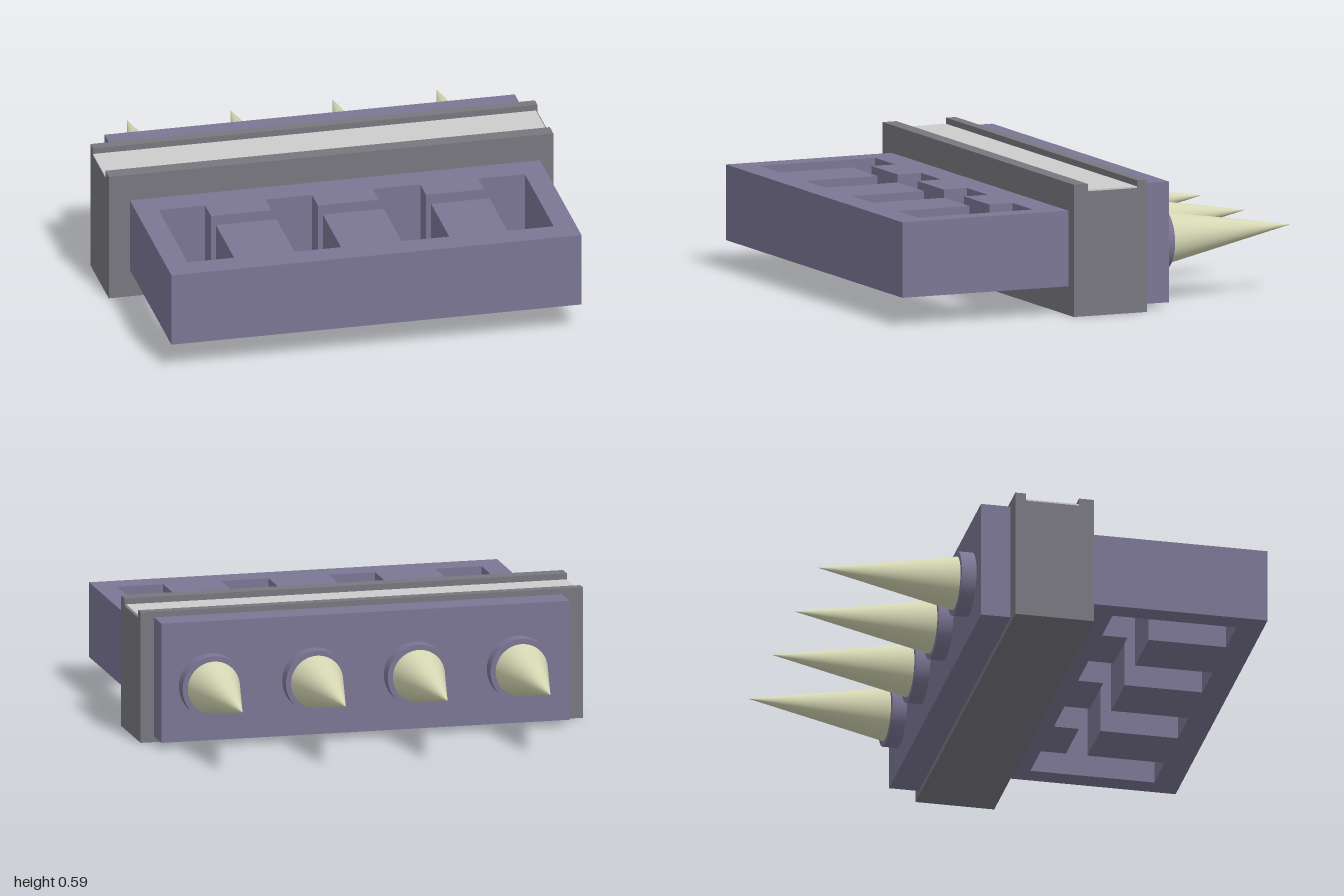
import * as THREE from 'three';

const material = (name, color) => {
  const m = new THREE.MeshStandardMaterial({ color });
  m.name = name;
  return m;
};

const polygon = (points) => points.map(([x, y]) => new THREE.Vector2(x, y));

export function createModel() {
  const model = new THREE.Group();
  model.name = 'spikedHandGuard';

  const purple = material('dusty purple', 0x7b7694);
  const gray = material('steel gray', 0x78777f);
  const silver = material('light gray', 0xcccccc);
  const bone = material('pale bone', 0xd6d8b4);

  const add = (name, geometry, mat) => {
    const mesh = new THREE.Mesh(geometry, mat);
    mesh.name = name;
    model.add(mesh);
    return mesh;
  };
  // Box given by its lower and upper corners
  const box = (name, [x0, y0, z0], [x1, y1, z1], mat) =>
    add(name, new THREE.BoxGeometry(x1 - x0, y1 - y0, z1 - z0)
      .translate((x0 + x1) / 2, (y0 + y1) / 2, (z0 + z1) / 2), mat);

  // Grip: a slab with four finger slots joined by a narrow channel
  const slots = [[-0.805, -0.596], [-0.324, -0.115], [0.158, 0.372], [0.634, 0.842]];
  const far = [], near = [];
  slots.forEach(([a, b], i) => {
    if (i > 0) { far.push([a, 0.42]); near.push([a, 0.516]); }
    far.push([a, 0.307], [b, 0.307]);
    near.push([a, 0.864], [b, 0.864]);
    if (i < slots.length - 1) { far.push([b, 0.42]); near.push([b, 0.516]); }
  });
  const slab = new THREE.Shape(polygon([[-0.905, 0.17], [0.94, 0.17], [0.94, 0.981], [-0.905, 0.981]]));
  slab.holes.push(new THREE.Path(polygon([...far, ...near.reverse()])));
  add('fingerGrip', new THREE.ExtrudeGeometry(slab, { depth: 0.335, bevelEnabled: false })
    .rotateX(Math.PI / 2).translate(0, 0.463, 0), purple);

  // Middle block: grooved profile run along the full width
  const profile = new THREE.Shape(polygon([
    [-0.173, 0], [0.18, 0], [0.18, 0.586], [0.113, 0.586],
    [0.113, 0.552], [-0.126, 0.552], [-0.126, 0.586], [-0.173, 0.586],
  ]));
  add('middleBlock', new THREE.ExtrudeGeometry(profile, { depth: 2, bevelEnabled: false })
    .rotateY(-Math.PI / 2).translate(1, 0, 0), gray);
  box('grooveStrip', [-1, 0.552, -0.126], [0.993, 0.559, 0.113], silver);

  // Back plate carrying the spikes
  box('backPlate', [-0.905, 0.026, -0.306], [0.94, 0.561, -0.17], purple);

  // Spikes on round collars, tips leaning slightly aside and up
  const collar = new THREE.CylinderGeometry(0.142, 0.142, 0.075, 48)
    .rotateX(-Math.PI / 2).translate(0, 0, -0.3345);
  const length = 0.63, lean = 0.026 / length;
  const spike = new THREE.CylinderGeometry(0, 0.122, length, 48, 1)
    .translate(0, length / 2, 0)
    .applyMatrix4(new THREE.Matrix4().set(
      1, lean, 0, 0,
      0, 1, 0, 0,
      0, -lean, 1, 0,
      0, 0, 0, 1))
    .rotateX(-Math.PI / 2);
  // Lift the tip rather than dropping it
  const p = spike.attributes.position;
  const base = p.clone();
  for (let i = 0; i < p.count; i++) {
    const t = -base.getZ(i) / length;
    const drift = base.getY(i) < 0 && t > 0.99 ? -2 * base.getY(i) : 0;
    p.setY(i, base.getY(i) + drift);
  }
  spike.computeBoundingSphere();
  spike.translate(0, 0, -0.351);

  [-0.673, -0.208, 0.252, 0.719].forEach((x) => {
    add('spikeCollar', collar, purple).position.set(x, 0.275, 0);
    add('spike', spike, bone).position.set(x, 0.275, 0);
  });

  return model;
}
